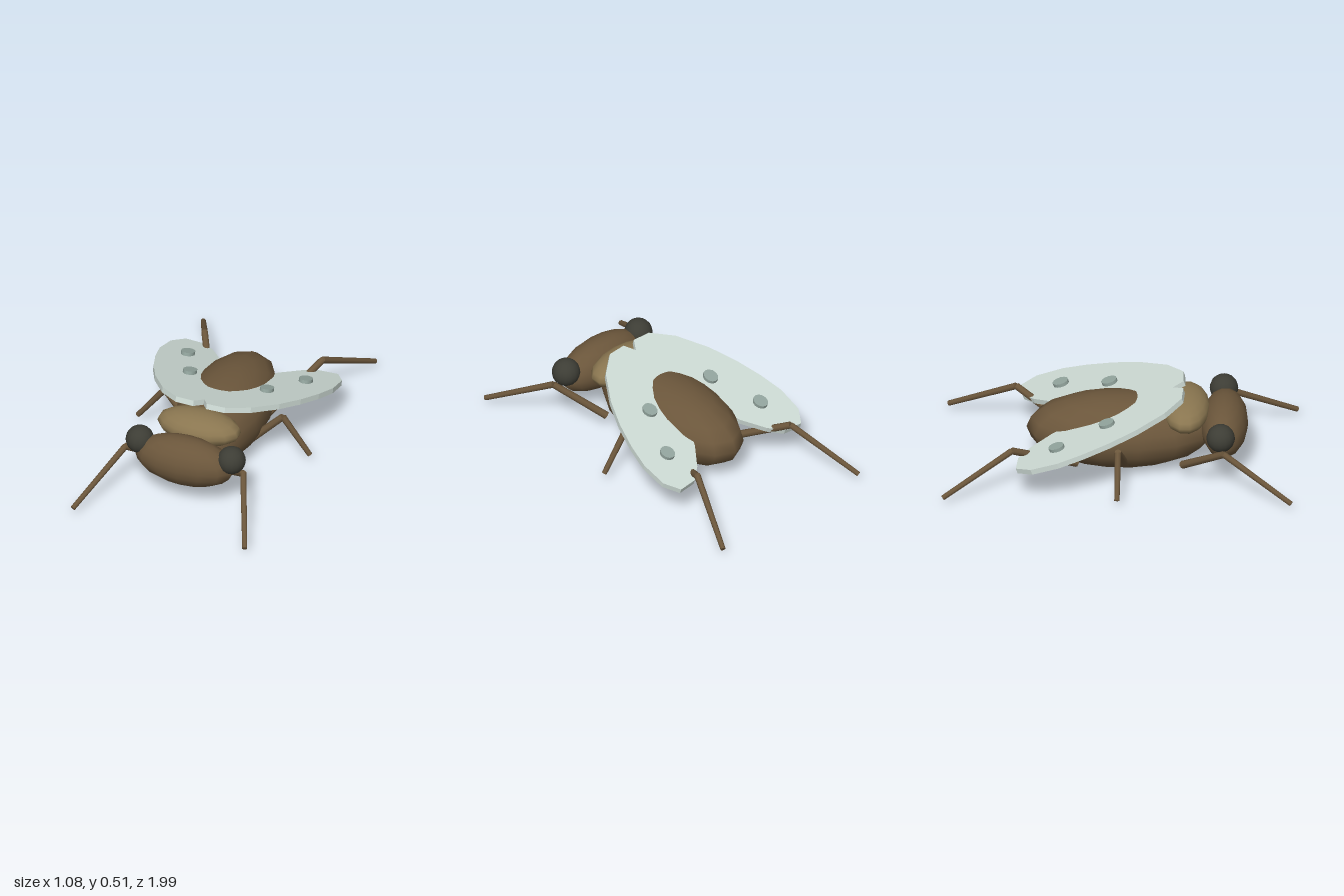
import * as THREE from 'three';

const mat = (name, color) => {
  const m = new THREE.MeshStandardMaterial({ color });
  m.name = name;
  return m;
};

export function createModel() {
  const brown = mat('shell brown', 0x6b563b);
  const tan = mat('collar tan', 0x8a7650);
  const dark = mat('eye dark', 0x3d3d35);
  const pale = mat('wing pale green', 0xccd9d3);
  const grey = mat('spot grey green', 0x92a49d);

  const root = new THREE.Group();
  root.name = 'insect';

  const add = (parent, name, geometry, material) => {
    const mesh = new THREE.Mesh(geometry, material);
    mesh.name = name;
    parent.add(mesh);
    return mesh;
  };

  // Ellipsoid with a vertex column facing front and back
  const ellipsoid = (name, material, [x, y, z], [rx, ry, rz]) => {
    const g = new THREE.SphereGeometry(1, 14, 10).rotateY(Math.PI / 2);
    g.scale(rx, ry, rz);
    add(root, name, g, material).position.set(x, y, z);
  };

  // Round bar between two points
  const bar = (parent, name, a, b, r0, r1) => {
    const p = new THREE.Vector3(...a), q = new THREE.Vector3(...b);
    const d = q.clone().sub(p);
    const mesh = add(parent, name, new THREE.CylinderGeometry(r1, r0, d.length(), 8), brown);
    mesh.position.copy(p).add(q).multiplyScalar(0.5);
    mesh.quaternion.setFromUnitVectors(new THREE.Vector3(0, 1, 0), d.normalize());
  };

  // Body, collar and head
  ellipsoid('abdomen', brown, [0, 0.216, 0], [0.255, 0.215, 0.53]);
  ellipsoid('collar', tan, [0, 0.355, 0.375], [0.25, 0.092, 0.135]);
  ellipsoid('head', brown, [0, 0.26, 0.592], [0.3, 0.148, 0.135]);

  // Wing outline in the tilted wing plane: x, z as seen from above
  const tilt = 0.306;
  const outline = [
    [0, 0.3], [0.04, 0.36], [0.15, 0.355], [0.27, 0.26], [0.38, 0.1], [0.45, -0.05],
    [0.5, -0.2], [0.53, -0.34], [0.523, -0.49], [0.465, -0.575], [0.35, -0.565],
    [0.27, -0.5], [0.177, -0.38], [0.07, -0.17], [-0.01, 0.03], [-0.03, 0.12], [-0.026, 0.22],
  ];
  const stretch = 1 / Math.cos(tilt);

  for (const side of [1, -1]) {
    const label = side > 0 ? 'left' : 'right';

    // Wing plate with two raised spots
    const wing = new THREE.Group();
    wing.name = label + 'Wing';
    wing.position.y = 0.393;
    wing.rotation.x = -tilt;
    root.add(wing);
    const shape = new THREE.Shape(outline.map(([x, z]) => new THREE.Vector2(side * x, -z * stretch)));
    const plate = new THREE.ExtrudeGeometry(shape, { depth: 0.032, bevelEnabled: false });
    plate.rotateX(-Math.PI / 2).translate(0, -0.032, 0);
    add(wing, label + 'WingPlate', plate, pale);
    for (const [x, z] of [[0.36, -0.345], [0.235, -0.065]]) {
      const spot = add(wing, label + 'WingSpot', new THREE.CylinderGeometry(0.04, 0.04, 0.024, 12), grey);
      spot.position.set(side * x, 0.008, z * stretch);
      spot.scale.set(1, 1, 1.15);
    }

    // Eye
    const eye = add(root, label + 'Eye', new THREE.SphereGeometry(0.081, 16, 12), dark);
    eye.position.set(side * 0.28, 0.325, 0.58);

    // Three legs, each with an upper and a lower segment: hip z, knee z, foot z
    const legs = [
      ['Front', 0.36, 0.6, 0.988],
      ['Middle', 0.04, 0, 0],
      ['Back', -0.24, -0.6, -0.988],
    ];
    for (const [part, hz, kz, fz] of legs) {
      const leg = new THREE.Group();
      leg.name = label + part + 'Leg';
      root.add(leg);
      const hip = [side * 0.17, 0.08, hz];
      const knee = [side * 0.36, 0.265, kz];
      const foot = [side * 0.525, 0.045, fz];
      bar(leg, 'upperLeg', hip, knee, 0.023, 0.02);
      bar(leg, 'lowerLeg', knee, foot, 0.019, 0.015);
    }
  }
  return root;
}
